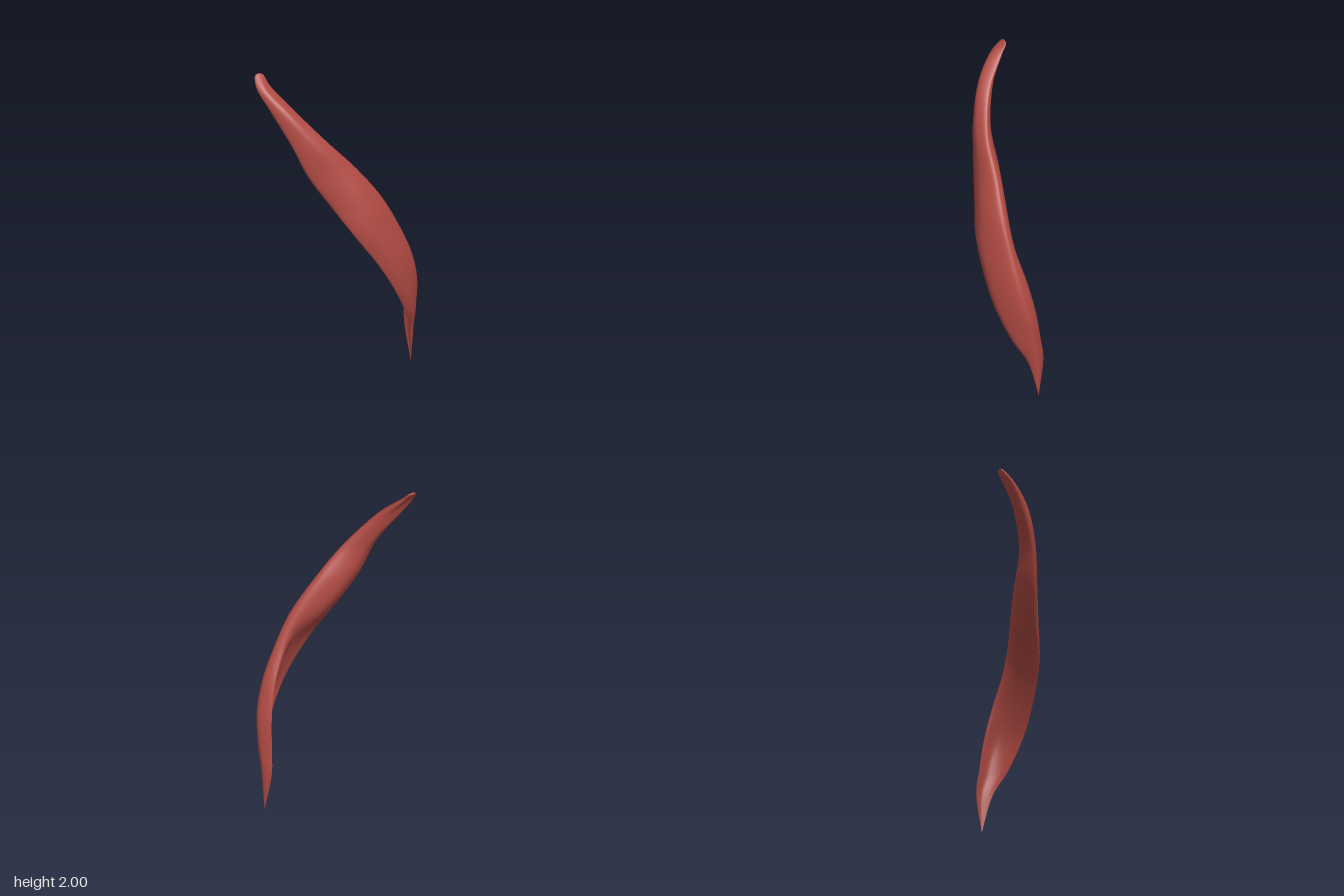
import * as THREE from 'three';

// Each level: y, then (x, z) of left edge, front crest, right edge, curled lip, inner right, inner left
const LEVELS = [
  [1.99, -.465, -.23, -.44, -.222, -.415, -.23, -.418, -.237, -.44, -.24, -.46, -.238],
  [1.93, -.48, -.18, -.44, -.145, -.39, -.18, -.395, -.195, -.43, -.195, -.465, -.2],
  [1.8, -.43, -.08, -.35, -.01, -.29, -.05, -.305, -.08, -.35, -.11, -.4, -.125],
  [1.6, -.34, .02, -.21, .09, -.12, .06, -.135, .03, -.2, -.01, -.27, -.025],
  [1.4, -.255, .07, -.07, .143, .06, .1, .05, .065, -.06, .012, -.15, .005],
  [1.2, -.13, .13, .06, .2, .21, .13, .19, .085, .09, .055, 0, .055],
  [1.0, 0, .2, .13, .235, .32, .13, .28, .08, .2, .13, .09, .17],
  [0.8, .14, .225, .24, .235, .41, .12, .365, .045, .33, .13, .22, .195],
  [0.6, .26, .21, .33, .21, .465, .09, .41, .01, .42, .1, .34, .18],
  [0.4, .362, .15, .41, .145, .473, .05, .425, -.015, .445, .05, .41, .12],
  [0.25, .425, .075, .447, .07, .47, .02, .435, -.03, .45, .01, .438, .05],
];
const TOP = new THREE.Vector3(-.44, 2, -.235);
const BOTTOM = new THREE.Vector3(.459, 0, .015);
const AROUND = 36, ALONG = 60;

// Smooth closed skin lofted through the levels, pinched to a point at both ends
function loft() {
  const rails = [];
  for (let k = 0; k < 6; k++) {
    const pts = LEVELS.map(l => new THREE.Vector3(l[1 + 2 * k], l[0], l[2 + 2 * k]));
    rails.push(new THREE.CatmullRomCurve3([TOP, ...pts, BOTTOM]));
  }
  const positions = [], index = [];
  for (let i = 0; i <= ALONG; i++) {
    const t = i / ALONG;
    const end = i === 0 ? TOP : i === ALONG ? BOTTOM : null;
    const ring = end ? null : new THREE.CatmullRomCurve3(rails.map(r => r.getPoint(t)), true);
    for (let j = 0; j < AROUND; j++) {
      const p = end || ring.getPoint(j / AROUND);
      positions.push(p.x, p.y, p.z);
    }
  }
  for (let i = 0; i < ALONG; i++) {
    for (let j = 0; j < AROUND; j++) {
      const n = (j + 1) % AROUND;
      const a = i * AROUND + j, b = i * AROUND + n, d = a + AROUND, e = b + AROUND;
      if (i > 0) index.push(a, d, b);
      if (i < ALONG - 1) index.push(d, e, b);
    }
  }
  const geo = new THREE.BufferGeometry();
  geo.setAttribute('position', new THREE.Float32BufferAttribute(positions, 3));
  geo.setIndex(index);
  geo.computeVertexNormals();
  return geo;
}

export function createModel() {
  const group = new THREE.Group();
  group.name = 'curvedMuscleStrip';
  const red = new THREE.MeshStandardMaterial({ color: 0xb04a43 });
  red.name = 'muscle red';
  const strip = new THREE.Mesh(loft(), red);
  strip.name = 'muscleStrip';
  group.add(strip);
  return group;
}
